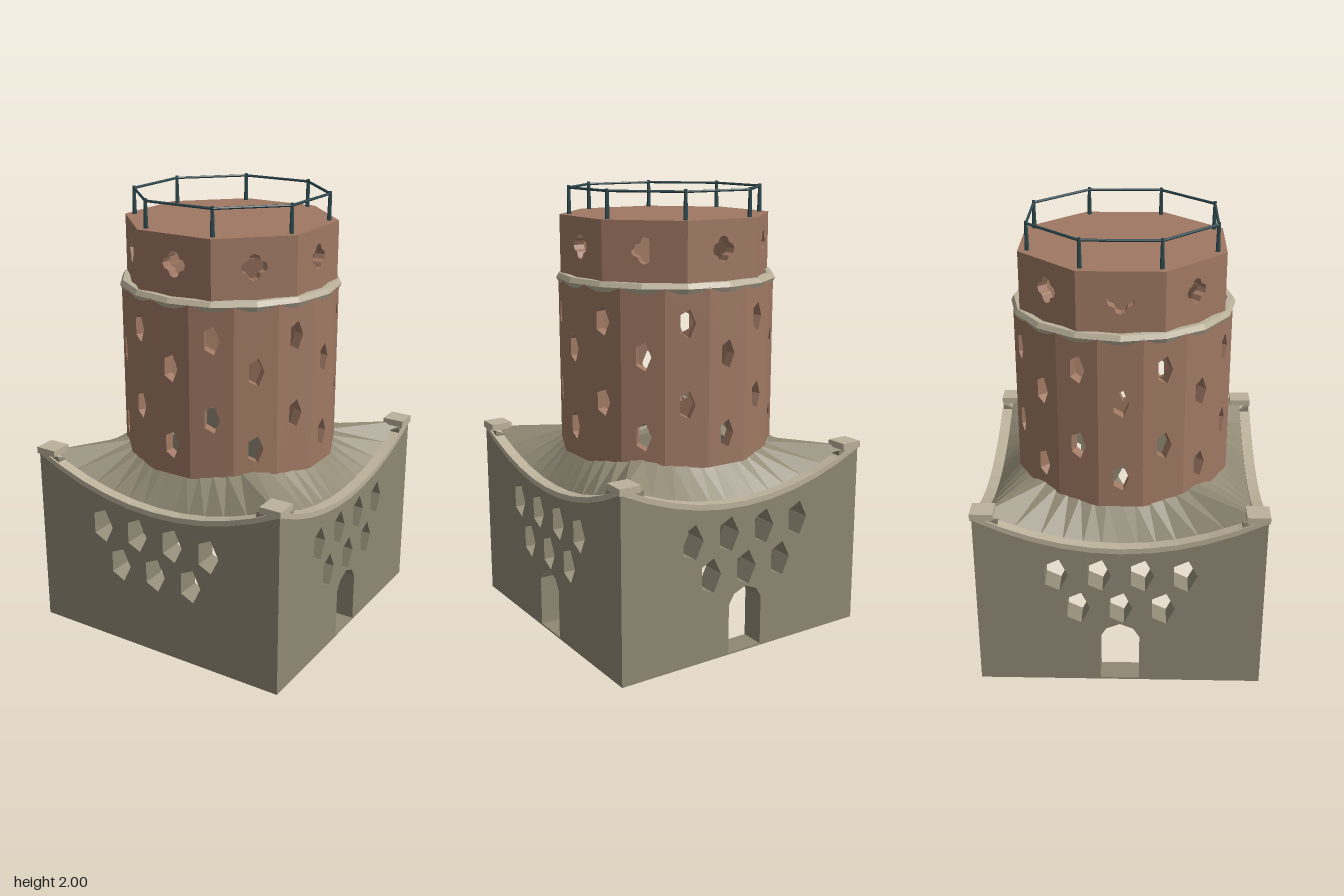
import * as THREE from 'three';

const paint = (color) => new THREE.MeshStandardMaterial({ color, flatShading: true });
const stone = paint(0x8f8873);
const brick = paint(0x9f7863);
const trimStone = paint(0xbcb29b);
const railMetal = paint(0x2f4a50);
const roofStone = paint(0x8f8873);
roofStone.side = THREE.DoubleSide;

const HALF = 0.63; // half width of the square base
const wallTop = (x) => 0.675 + 0.16 * (x / HALF) ** 2;

function add(parent, name, geometry, material, x = 0, y = 0, z = 0) {
  const mesh = new THREE.Mesh(geometry, material);
  mesh.name = name;
  mesh.position.set(x, y, z);
  parent.add(mesh);
  return mesh;
}

const toPath = (points) => new THREE.Path(points.map(([x, y]) => new THREE.Vector2(x, y)));
const toShape = (points) => new THREE.Shape(points.map(([x, y]) => new THREE.Vector2(x, y)));

// Five-sided opening pointing to the viewer's right
function pentagon(cx, cy, rx, ry) {
  const points = [];
  for (let i = 0; i < 5; i++) {
    const a = (i * Math.PI * 2) / 5;
    points.push([cx + rx * Math.cos(a), cy + ry * Math.sin(a)]);
  }
  return toPath(points);
}

// Four-lobed opening
function quatrefoil(cy) {
  const points = [];
  for (let lobe = 0; lobe < 4; lobe++) {
    const dir = (lobe * Math.PI) / 2;
    for (let i = -2; i <= 2; i++) {
      const a = dir + (i * Math.PI) / 4;
      points.push([
        0.03 * Math.cos(dir) + 0.027 * Math.cos(a),
        cy + 0.03 * Math.sin(dir) + 0.027 * Math.sin(a),
      ]);
    }
  }
  return toPath(points);
}

function extrude(shape, depth) {
  return new THREE.ExtrudeGeometry(shape, { depth, bevelEnabled: false });
}

// Many-sided hollow drum made of pierced flat panels
function drum(parent, name, sides, radius, y0, y1, thickness, holesFor) {
  const w = radius * Math.sin(Math.PI / sides);
  const apothem = radius * Math.cos(Math.PI / sides);
  for (let i = 0; i < sides; i++) {
    const shape = toShape([[-w, y0], [w, y0], [w, y1], [-w, y1]]);
    shape.holes.push(...holesFor(i));
    const geometry = extrude(shape, thickness);
    geometry.translate(0, 0, apothem - thickness);
    add(parent, name, geometry, brick).rotation.y = (i * Math.PI * 2) / sides;
  }
}

// Base walls with sagging tops, pierced windows and doors on three sides
function buildBase(parent) {
  const curve = [];
  for (let i = 0; i <= 10; i++) {
    const x = HALF * (1 - i / 5);
    curve.push([x, wallTop(x)]);
  }
  for (let k = 0; k < 4; k++) {
    const side = new THREE.Group();
    side.name = 'baseSide';
    side.rotation.y = (k * Math.PI) / 2;
    parent.add(side);

    const shape = toShape([[-HALF, 0], [HALF, 0], ...curve]);
    for (let i = 0; i < 4; i++) shape.holes.push(pentagon((i - 1.5) * 0.187, 0.56, 0.056, 0.083));
    for (let i = 0; i < 3; i++) shape.holes.push(pentagon((i - 1) * 0.187, 0.39, 0.056, 0.083));
    if (k > 0) {
      shape.holes.push(toPath([
        [-0.087, 0.008], [0.087, 0.008], [0.087, 0.235], [0.06, 0.28],
        [0, 0.305], [-0.06, 0.28], [-0.087, 0.235],
      ]));
    }
    add(side, 'baseWall', extrude(shape, 0.11), stone, 0, 0, HALF - 0.11);

    // Coping along the sagging wall top
    const upper = curve.map(([x, y]) => [x, y + 0.025]).reverse();
    add(side, 'coping', extrude(toShape([...curve, ...upper]), 0.05), trimStone, 0, 0, 0.588);
    add(side, 'cornerCap', new THREE.BoxGeometry(0.1, 0.03, 0.1), trimStone, 0.588, 0.848, 0.588);
  }
}

// Roof skin lofted from the square wall top to the round tower
function buildRoof(parent) {
  const n = 48, positions = [], index = [];
  for (let i = 0; i <= n; i++) {
    const a = (i / n) * Math.PI * 2;
    const c = Math.cos(a), s = Math.sin(a);
    const m = Math.max(Math.abs(c), Math.abs(s));
    const t = Math.min(Math.abs(c), Math.abs(s)) / m; // 0 mid-side, 1 corner
    const outer = 0.6 / m;
    positions.push(outer * s, wallTop(t * HALF) + 0.004, outer * c);
    positions.push(0.46 * s, 0.835 + 0.025 * t, 0.46 * c);
    if (i < n) {
      const b = i * 2;
      index.push(b, b + 2, b + 1, b + 1, b + 2, b + 3);
    }
  }
  const geometry = new THREE.BufferGeometry();
  geometry.setAttribute('position', new THREE.Float32BufferAttribute(positions, 3));
  geometry.setIndex(index);
  geometry.computeVertexNormals();
  add(parent, 'roof', geometry, roofStone);
}

// Sixteen-sided tower, string course and eight-sided crown
function buildTower(parent) {
  drum(parent, 'towerPanel', 16, 0.488, 0.82, 1.6, 0.05, (i) =>
    (i % 2 ? [1.1, 1.45] : [0.96, 1.31]).map((y) => pentagon(0, y, 0.037, 0.065)));

  const ledge = new THREE.RingGeometry(0.4, 0.48, 16);
  ledge.rotateX(-Math.PI / 2);
  add(parent, 'towerLedge', ledge, brick, 0, 1.6, 0);

  const band = new THREE.TorusGeometry(0.473, 0.025, 6, 16);
  band.rotateX(Math.PI / 2);
  add(parent, 'stringCourse', band, trimStone, 0, 1.597, 0);

  drum(parent, 'crownPanel', 8, 0.477, 1.595, 1.87, 0.05, () => [quatrefoil(1.75)]);
  const cap = new THREE.CylinderGeometry(0.477, 0.477, 0.03, 8);
  cap.rotateY(Math.PI / 8);
  add(parent, 'crownTop', cap, brick, 0, 1.86, 0);
}

// Railing: posts at the crown corners joined by thin bars
function buildRailing(parent) {
  const R = 0.434;
  const barLength = 2 * R * Math.sin(Math.PI / 8);
  for (let i = 0; i < 8; i++) {
    const a = ((i + 0.5) * Math.PI) / 4;
    const x = R * Math.sin(a), z = R * Math.cos(a);
    add(parent, 'railPost', new THREE.CylinderGeometry(0.007, 0.01, 0.125, 6), railMetal, x, 1.9375, z);
    const bar = new THREE.CylinderGeometry(0.006, 0.006, barLength, 6);
    bar.rotateZ(Math.PI / 2);
    bar.translate(0, 1.99, R * Math.cos(Math.PI / 8));
    add(parent, 'railBar', bar, railMetal).rotation.y = (i * Math.PI) / 4;
  }
}

export function createModel() {
  const model = new THREE.Group();
  model.name = 'tower';
  const body = new THREE.Group();
  body.name = 'towerBody';
  body.rotation.y = -0.047;
  model.add(body);
  buildBase(body);
  buildRoof(body);
  buildTower(body);
  buildRailing(body);
  return model;
}
